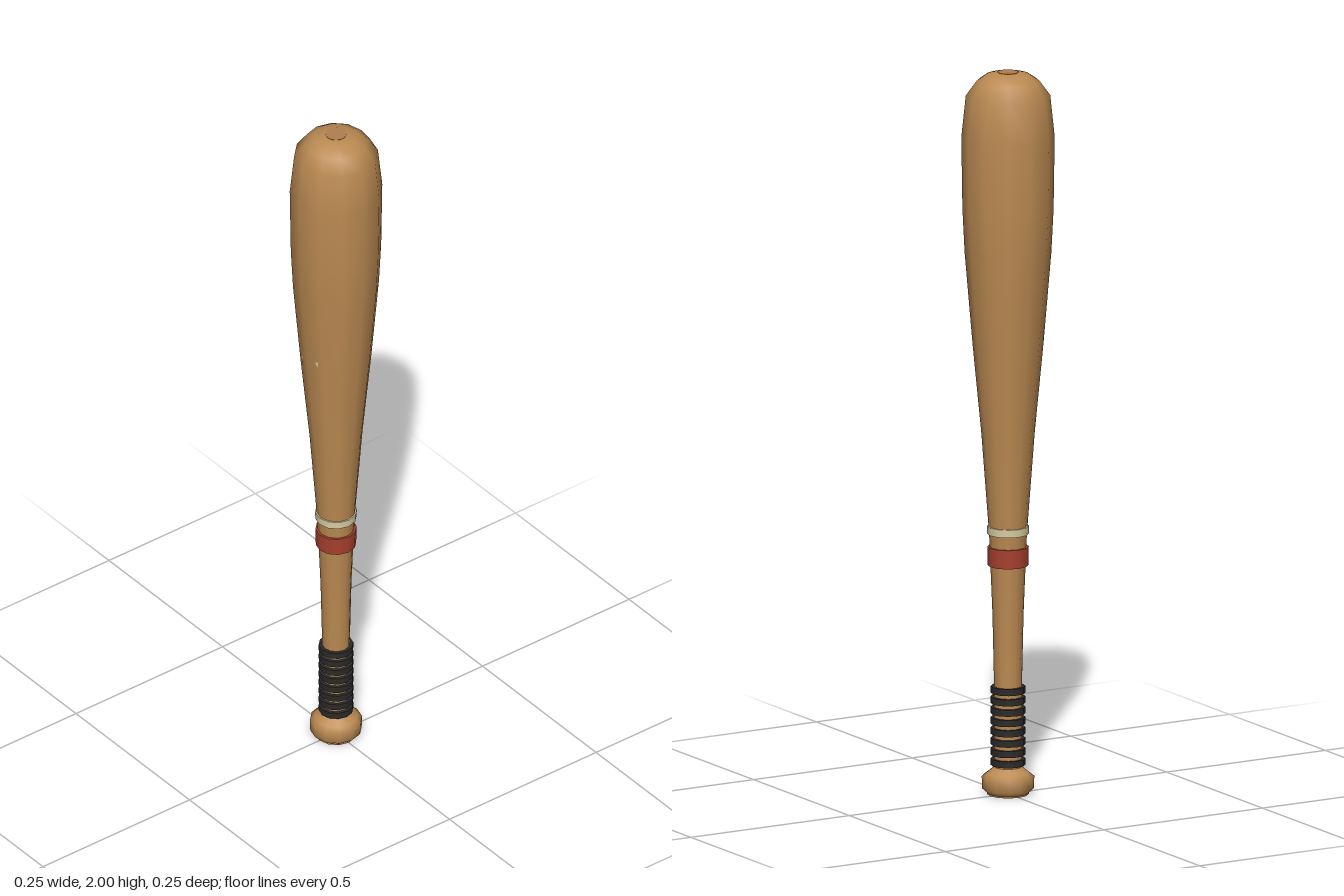
import * as THREE from 'three';

const SIDES = 12;

function material(name, color, side = THREE.FrontSide) {
  const m = new THREE.MeshStandardMaterial({ color, side });
  m.name = name;
  return m;
}

export function createModel() {
  const wood = material('wood', 0xbb8a52);
  const capWood = material('end cap wood', 0xb27f4c);
  const red = material('red paint', 0xa8402f);
  const cream = material('cream paint', 0xddd0a4, THREE.DoubleSide);
  const dark = material('dark grip', 0x2b2a29);

  const bat = new THREE.Group();
  bat.name = 'bat';

  const add = (name, geometry, mat, y = 0) => {
    const mesh = new THREE.Mesh(geometry, mat);
    mesh.name = name;
    mesh.position.y = y;
    bat.add(mesh);
    return mesh;
  };
  const lathe = (points) =>
    new THREE.LatheGeometry(points.map(([r, y]) => new THREE.Vector2(r, y)), SIDES);

  // Handle, taper and rounded barrel
  add('barrel', lathe([
    [0.038, 0.05], [0.038, 0.32], [0.042, 0.5], [0.051, 0.72], [0.072, 1.0],
    [0.096, 1.25], [0.117, 1.5], [0.123, 1.62], [0.126, 1.82], [0.114, 1.935],
    [0.085, 1.975], [0.06, 1.992], [0.028, 1.999], [0, 1.999],
  ]), wood);

  // Flat disc in the tip
  add('endCap', new THREE.CylinderGeometry(0.028, 0.028, 0.006, 24), capWood, 1.997);

  // Knob with a flat base
  add('knob', lathe([
    [0.056, 0.004], [0.07, 0.016], [0.071, 0.05], [0.058, 0.06], [0.038, 0.076],
  ]), wood);
  add('knobBase', new THREE.CylinderGeometry(0.056, 0.056, 0.006, SIDES), wood, 0.003);

  // Painted bands
  add('redBand', new THREE.CylinderGeometry(0.056, 0.055, 0.052, SIDES), red, 0.66);
  add('creamBand', new THREE.CylinderGeometry(0.057, 0.056, 0.022, SIDES), cream, 0.732);

  // Grip rings
  for (let i = 0; i < 8; i++) {
    add(`gripRing${i + 1}`, new THREE.CylinderGeometry(0.047, 0.047, 0.018, SIDES), dark, 0.09 + i * 0.0286);
  }

  // Small chips lying on the front facets
  const chip = (name, corners) => {
    const shape = new THREE.Shape(corners.map(([x, y]) => new THREE.Vector2(x, y)));
    const geometry = new THREE.ShapeGeometry(shape);
    const p = geometry.attributes.position;
    for (let i = 0; i < p.count; i++) {
      const radius = 0.096 + (p.getY(i) - 1.25) * 0.084;
      p.setZ(i, radius - Math.abs(p.getX(i)) * Math.tan(Math.PI / SIDES) + 0.0015);
    }
    geometry.computeVertexNormals();
    add(name, geometry, cream);
  };
  chip('chipRight', [[-0.042, 1.275], [-0.027, 1.254], [-0.029, 1.283]]);
  chip('chipLeft', [[0.028, 1.293], [0.037, 1.281], [0.039, 1.3]]);

  return bat;
}
